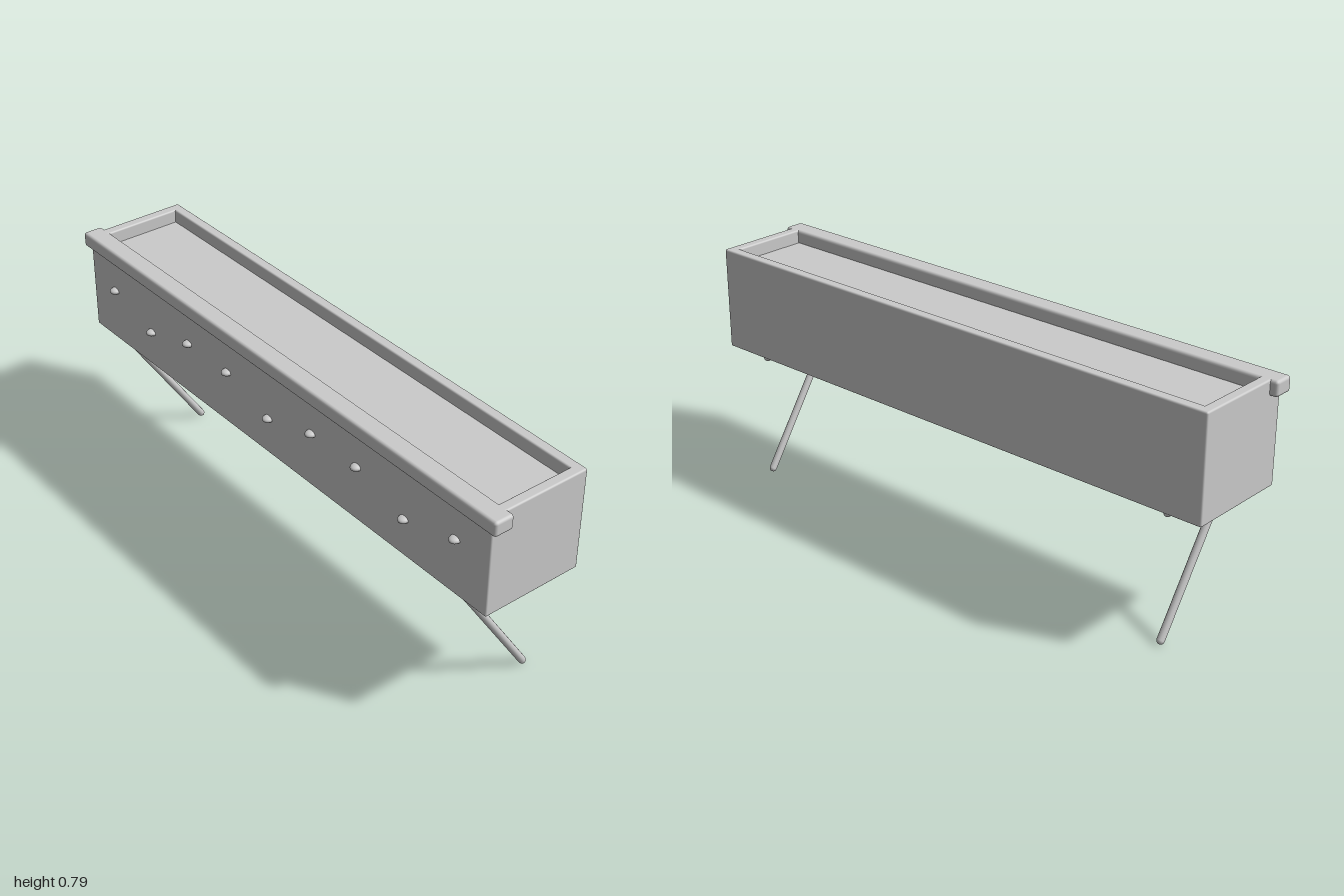
import * as THREE from 'three';
import { RoundedBoxGeometry } from 'three/addons/geometries/RoundedBoxGeometry.js';

const grey = new THREE.MeshStandardMaterial({ color: 0xcccccc });

export function createModel() {
  const model = new THREE.Group();

  const add = (name, geometry, x = 0, y = 0, z = 0) => {
    const mesh = new THREE.Mesh(geometry, grey);
    mesh.name = name;
    mesh.position.set(x, y, z);
    model.add(mesh);
    return mesh;
  };

  // Slab with softened edges, given by its extents
  const slab = (name, [x0, x1], [y0, y1], [z0, z1], radius = 0.006) =>
    add(name, new RoundedBoxGeometry(x1 - x0, y1 - y0, z1 - z0, 2, radius),
      (x0 + x1) / 2, (y0 + y1) / 2, (z0 + z1) / 2);

  // Trough panels
  slab('bottomPanel', [-0.975, 0.975], [0.445, 0.48], [-0.185, 0.165]);
  slab('backPanel', [-0.975, 0.975], [0.445, 0.79], [-0.185, -0.15]);
  slab('frontPanel', [-0.975, 0.975], [0.445, 0.77], [0.13, 0.165]);
  for (const s of [-1, 1]) {
    const xs = s > 0 ? [0.94, 0.975] : [-0.975, -0.94];
    slab(s > 0 ? 'leftEndPanel' : 'rightEndPanel', xs, [0.447, 0.79], [-0.183, 0.163]);
  }

  // Rail along the front rim
  slab('frontRail', [-1, 1], [0.74, 0.79], [0.11, 0.178], 0.01);

  // Shallow filling inside the rim
  add('filling', new THREE.BoxGeometry(1.89, 0.27, 0.29), 0, 0.61, -0.01);

  // Two staggered rows of flattened studs
  const studGeometry = new THREE.SphereGeometry(1, 16, 12).scale(0.018, 0.011, 0.022);
  for (let i = -4; i <= 4; i++) {
    const low = i % 3 === 0;
    add('stud', studGeometry, i * 0.21, low ? 0.575 : 0.635, 0.165);
  }

  // Folding legs: a sloping strut and a tapering bar under the trough
  const top = new THREE.Vector3(0, 0.422, 0.122);
  const foot = new THREE.Vector3(0, 0.014, -0.148);
  const strutGeometry = new THREE.CapsuleGeometry(0.0125, top.distanceTo(foot), 4, 12);
  const slope = new THREE.Quaternion().setFromUnitVectors(
    new THREE.Vector3(0, 1, 0), top.clone().sub(foot).normalize());

  // Bar keeps its width but thins vertically towards the hinge
  const barGeometry = new THREE.CapsuleGeometry(0.0125, 0.26, 4, 12, 8).rotateX(Math.PI / 2);
  const p = barGeometry.attributes.position;
  for (let i = 0; i < p.count; i++) {
    const t = THREE.MathUtils.clamp((0.13 - p.getZ(i)) / 0.26, 0.03, 1);
    p.setY(i, p.getY(i) * t);
  }
  barGeometry.computeVertexNormals();

  for (const x of [-0.835, 0.835]) {
    const strut = add('legStrut', strutGeometry, x, (top.y + foot.y) / 2, (top.z + foot.z) / 2);
    strut.quaternion.copy(slope);
    add('legBar', barGeometry, x, 0.428, -0.015);
  }

  return model;
}
